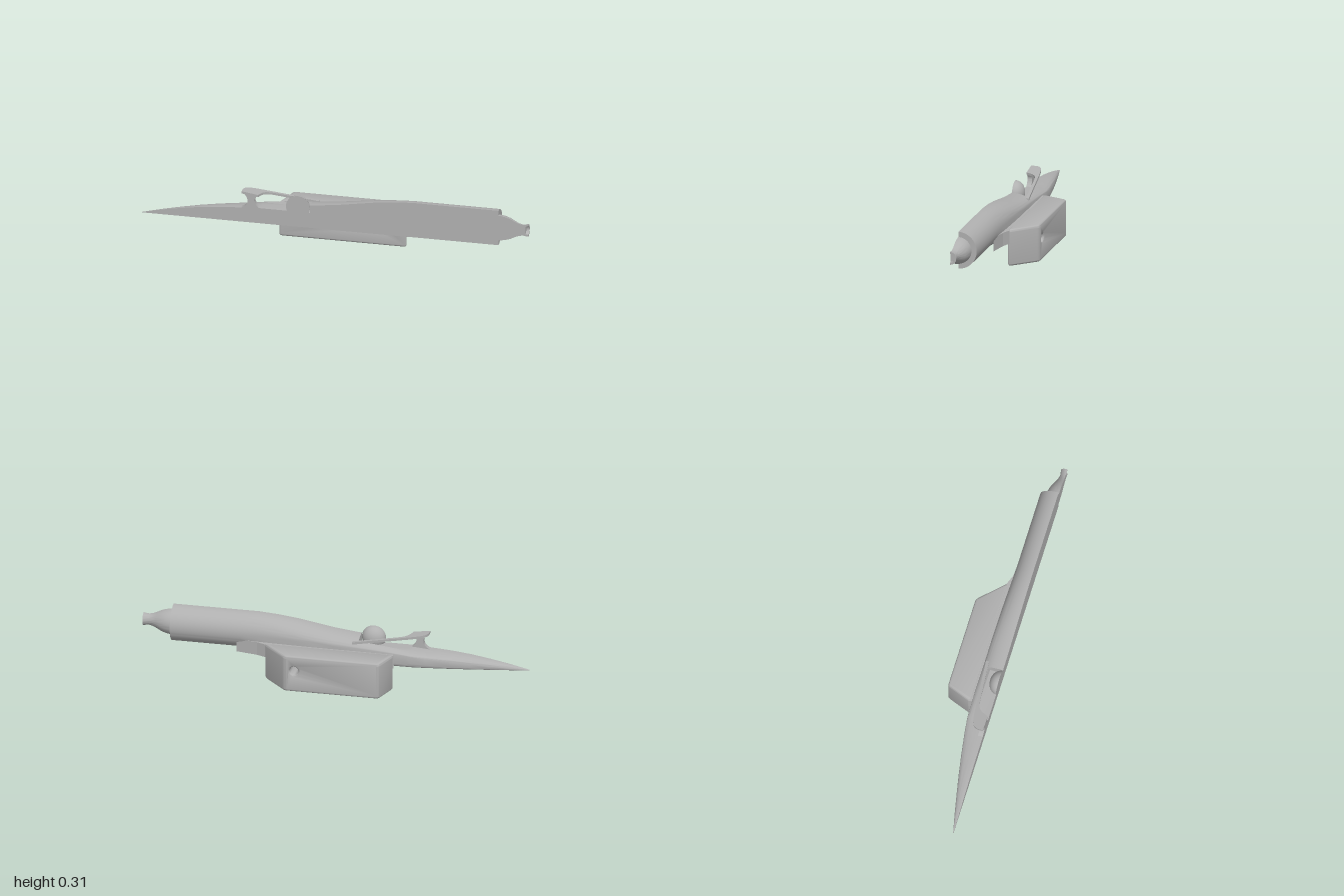
import * as THREE from 'three';
import { toCreasedNormals } from 'three/addons/utils/BufferGeometryUtils.js';

const grey = new THREE.MeshStandardMaterial({ color: 0xb0b0b0, side: THREE.DoubleSide });
grey.name = 'grey';
const CUT = 0.125; // flat mid plane of the half model

function loft(rings) {
  const n = rings[0].length, pos = [], idx = [];
  rings.forEach(r => r.forEach(p => pos.push(...p)));
  for (let i = 0; i < rings.length - 1; i++) {
    for (let j = 0; j < n; j++) {
      const a = i * n + j, b = i * n + (j + 1) % n;
      idx.push(a, b, a + n, b, b + n, a + n);
    }
  }
  const last = (rings.length - 1) * n;
  for (let j = 1; j < n - 1; j++) {
    idx.push(0, j + 1, j, last, last + j, last + j + 1);
  }
  const g = new THREE.BufferGeometry();
  g.setAttribute('position', new THREE.Float32BufferAttribute(pos, 3));
  g.setIndex(idx);
  return toCreasedNormals(g, 0.6);
}

const shapeOf = pts => new THREE.Shape(pts.map(p => new THREE.Vector2(...p)));

// Hull cross-section: elliptical top, lower half from boxy (n = 9) to round (n = 2)
function section([x, w, top, mid, bottom, n, open]) {
  const ring = [];
  for (let i = 0; i <= 16; i++) {
    const a = i / 16 * Math.PI / 2, off = w * Math.sin(a);
    let y = mid + (top - mid) * Math.cos(a);
    if (open && off < 0.072) y = Math.min(y, 0.205);
    ring.push([x, y, CUT - off]);
  }
  for (let i = 1; i <= 16; i++) {
    const a = i / 16 * Math.PI / 2;
    const c = Math.max(0, Math.cos(a));
    ring.push([x, mid - (mid - bottom) * Math.sin(a) ** (2 / n), CUT - w * c ** (2 / n)]);
  }
  return ring;
}

export function createModel() {
  const model = new THREE.Group();
  const add = (name, geo) => {
    const m = new THREE.Mesh(geo, grey);
    m.name = name;
    model.add(m);
    return m;
  };

  // Hull with pointed nose, sunken cockpit and round tail
  add('hull', loft([
    [-1, 0.002, 0.123, 0.121, 0.12, 9],
    [-0.9, 0.024, 0.146, 0.131, 0.12, 9],
    [-0.8, 0.044, 0.165, 0.142, 0.12, 9],
    [-0.7, 0.063, 0.181, 0.153, 0.12, 9],
    [-0.6, 0.08, 0.192, 0.163, 0.12, 9],
    [-0.48, 0.098, 0.2, 0.175, 0.12, 9],
    [-0.4, 0.107, 0.206, 0.184, 0.12, 9],
    [-0.385, 0.107, 0.209, 0.186, 0.12, 9, true],
    [-0.26, 0.109, 0.23, 0.195, 0.12, 9, true],
    [-0.132, 0.107, 0.247, 0.2, 0.12, 9, true],
    [-0.13, 0.107, 0.247, 0.2, 0.12, 9],
    [0, 0.107, 0.262, 0.207, 0.12, 9],
    [0.1, 0.106, 0.279, 0.211, 0.12, 8],
    [0.2, 0.104, 0.296, 0.215, 0.12, 6],
    [0.3, 0.101, 0.308, 0.217, 0.12, 4],
    [0.4, 0.098, 0.315, 0.218, 0.121, 2.5],
    [0.48, 0.097, 0.315, 0.218, 0.121, 2],
    [0.845, 0.097, 0.315, 0.218, 0.121, 2],
  ].map(section)));

  // Tail nozzle, a half turn closed by a flat face on the mid plane
  const profile = [[0.07, 0.84], [0.068, 0.86], [0.064, 0.88], [0.056, 0.905], [0.043, 0.93],
    [0.034, 0.95], [0.03, 0.97], [0.034, 1], [0.024, 1], [0.021, 0.985], [0, 0.985]];
  const nozzle = new THREE.LatheGeometry(profile.map(p => new THREE.Vector2(...p)), 24, Math.PI / 2, Math.PI);
  nozzle.rotateZ(-Math.PI / 2).translate(0, 0.218, CUT);
  add('nozzle', toCreasedNormals(nozzle, 0.6));
  const outline = [...profile.map(([r, x]) => [x, r]), ...profile.map(([r, x]) => [x, -r]).reverse().slice(1)];
  add('nozzleCutFace', new THREE.ShapeGeometry(shapeOf(outline)).translate(0, 0.218, CUT));

  // Side pod: rounded block with a through hole, its ends slanted inward
  const pod = new THREE.Shape();
  const L = -0.32, R = 0.35, T = 0.195, r = 0.018;
  pod.moveTo(L + r, 0).lineTo(R - r, 0).quadraticCurveTo(R, 0, R, r)
    .lineTo(R, T - r).quadraticCurveTo(R, T, R - r, T)
    .lineTo(L + r, T).quadraticCurveTo(L, T, L, T - r)
    .lineTo(L, r).quadraticCurveTo(L, 0, L + r, 0);
  const hole = new THREE.Path();
  hole.absarc(0.17, 0.115, 0.022, 0, Math.PI * 2, true);
  pod.holes.push(hole);
  const podGeo = new THREE.ExtrudeGeometry(pod, {
    depth: 0.109, bevelThickness: 0.012, bevelSize: 0.012, bevelOffset: -0.012, bevelSegments: 4, curveSegments: 12,
  });
  podGeo.translate(0, 0, -0.113);
  const p = podGeo.attributes.position;
  for (let i = 0; i < p.count; i++) {
    const x = p.getX(i), t = (0.008 - p.getZ(i)) / 0.133;
    if (x < -0.25) p.setX(i, x + 0.05 * t);
    if (x > 0.22) p.setX(i, x - 0.13 * t);
  }
  add('sidePod', toCreasedNormals(podGeo, 0.6));

  // Fairing that joins the pod to the hull
  const fairing = shapeOf([[-0.32, 0], [0.34, 0], [0.39, -0.02], [0.5, -0.04], [0.3, -0.06], [-0.3, -0.06]]);
  add('podFairing', new THREE.ExtrudeGeometry(fairing, { depth: 0.07, bevelEnabled: false })
    .rotateX(-Math.PI / 2).translate(0, 0.12, 0));

  // Sloping cockpit rail, a curved plate open in the middle
  const rail = new THREE.Shape();
  rail.moveTo(-0.485, -CUT).lineTo(-0.485, -0.1)
    .bezierCurveTo(-0.48, -0.06, -0.44, -0.06, -0.38, -0.053)
    .lineTo(-0.1, -0.026).lineTo(-0.1, -0.042).lineTo(-0.3, -0.06)
    .bezierCurveTo(-0.37, -0.066, -0.38, -0.07, -0.4, -CUT);
  const railGeo = new THREE.ExtrudeGeometry(rail, { depth: 0.012, bevelEnabled: false, curveSegments: 10 });
  railGeo.rotateX(-Math.PI / 2);
  const q = railGeo.attributes.position;
  for (let i = 0; i < q.count; i++) q.setY(i, q.getY(i) + 0.279 - (q.getX(i) + 0.485) * 0.15);
  add('cockpitRail', toCreasedNormals(railGeo, 0.6));

  // Flared post under the front of the rail
  const post = new THREE.Shape();
  post.moveTo(-0.495, 0.196).quadraticCurveTo(-0.455, 0.21, -0.455, 0.24)
    .quadraticCurveTo(-0.455, 0.262, -0.475, 0.28).lineTo(-0.405, 0.27)
    .quadraticCurveTo(-0.42, 0.255, -0.418, 0.24).quadraticCurveTo(-0.41, 0.21, -0.385, 0.2);
  add('railPost', toCreasedNormals(new THREE.ExtrudeGeometry(post, { depth: 0.025, bevelEnabled: false })
    .translate(0, 0, CUT - 0.025), 0.6));

  // Half dome in the cockpit with its flat face
  const dome = add('cockpitDome', new THREE.SphereGeometry(0.062, 24, 20, Math.PI, Math.PI));
  dome.position.set(-0.194, 0.231, CUT);
  dome.scale.z = 0.8;
  const face = add('domeCutFace', new THREE.CircleGeometry(0.062, 32));
  face.position.set(-0.194, 0.231, CUT);
  return model;
}
